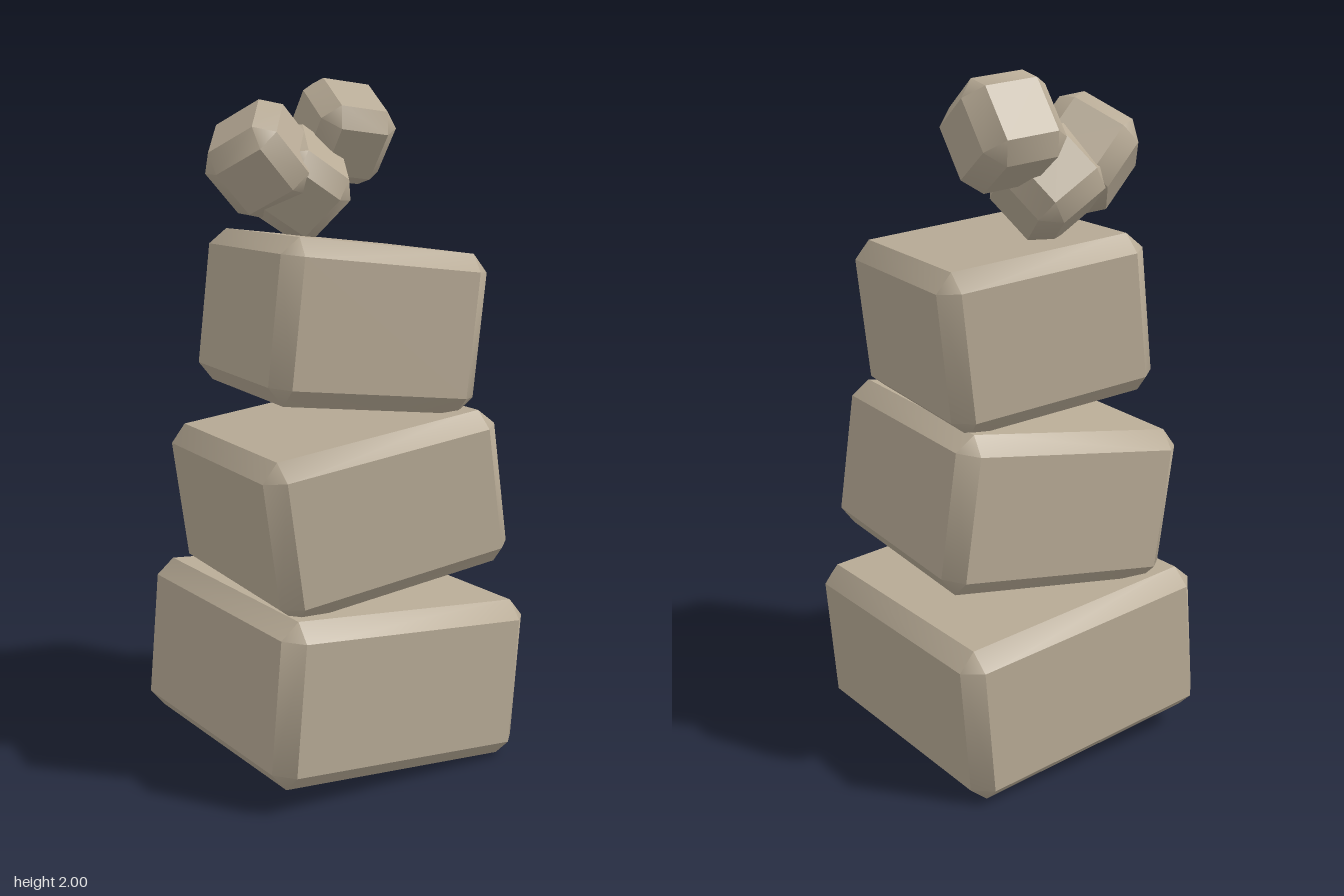
import * as THREE from 'three';
import { ConvexGeometry } from 'three/addons/geometries/ConvexGeometry.js';
import { toCreasedNormals } from 'three/addons/utils/BufferGeometryUtils.js';

const rad = THREE.MathUtils.degToRad;
const CHAMFER = 0.05;

// Box with every edge cut flat: faces stay flat, chamfers shade smoothly into the corners
function chamferedBox(w, h, d, c = CHAMFER) {
  const half = [w / 2, h / 2, d / 2];
  const points = [];
  for (const sx of [-1, 1]) for (const sy of [-1, 1]) for (const sz of [-1, 1]) {
    const sign = [sx, sy, sz];
    for (let axis = 0; axis < 3; axis++) {
      const p = half.map((v, i) => sign[i] * (i === axis ? v : v - c));
      points.push(new THREE.Vector3(...p));
    }
  }
  return toCreasedNormals(new ConvexGeometry(points), rad(40));
}

export function createModel() {
  const group = new THREE.Group();
  const stone = new THREE.MeshStandardMaterial({ color: 0xb8ab96 });

  function addStone(name, size, position, degrees, order) {
    const mesh = new THREE.Mesh(chamferedBox(...size), stone);
    mesh.name = name;
    mesh.position.set(...position);
    mesh.rotation.set(...degrees.map(rad), order);
    group.add(mesh);
  }

  // Three large blocks, each leaning sideways and turned a little
  addStone('bottomBlock', [0.84, 0.474, 0.845], [0, 0.272, 0], [0, 4.4, -5], 'YXZ');
  addStone('middleBlock', [0.745, 0.458, 0.745], [0.005, 0.787, 0.017], [0, -0.5, 8], 'YXZ');
  addStone('topBlock', [0.643, 0.46, 0.648], [0.025, 1.3, -0.005], [0, -3.5, -6.3], 'YXZ');

  // Three small tumbled cubes on the summit
  const cube = [0.257, 0.257, 0.257];
  addStone('lowerCube', cube, [-0.035, 1.695, -0.148], [35, 0, -32], 'ZYX');
  addStone('leftCube', cube, [-0.163, 1.763, -0.135], [5, 45.2, 46.7], 'ZYX');
  addStone('rightCube', cube, [0.145, 1.845, -0.208], [33, 0, -6], 'ZYX');

  return group;
}
